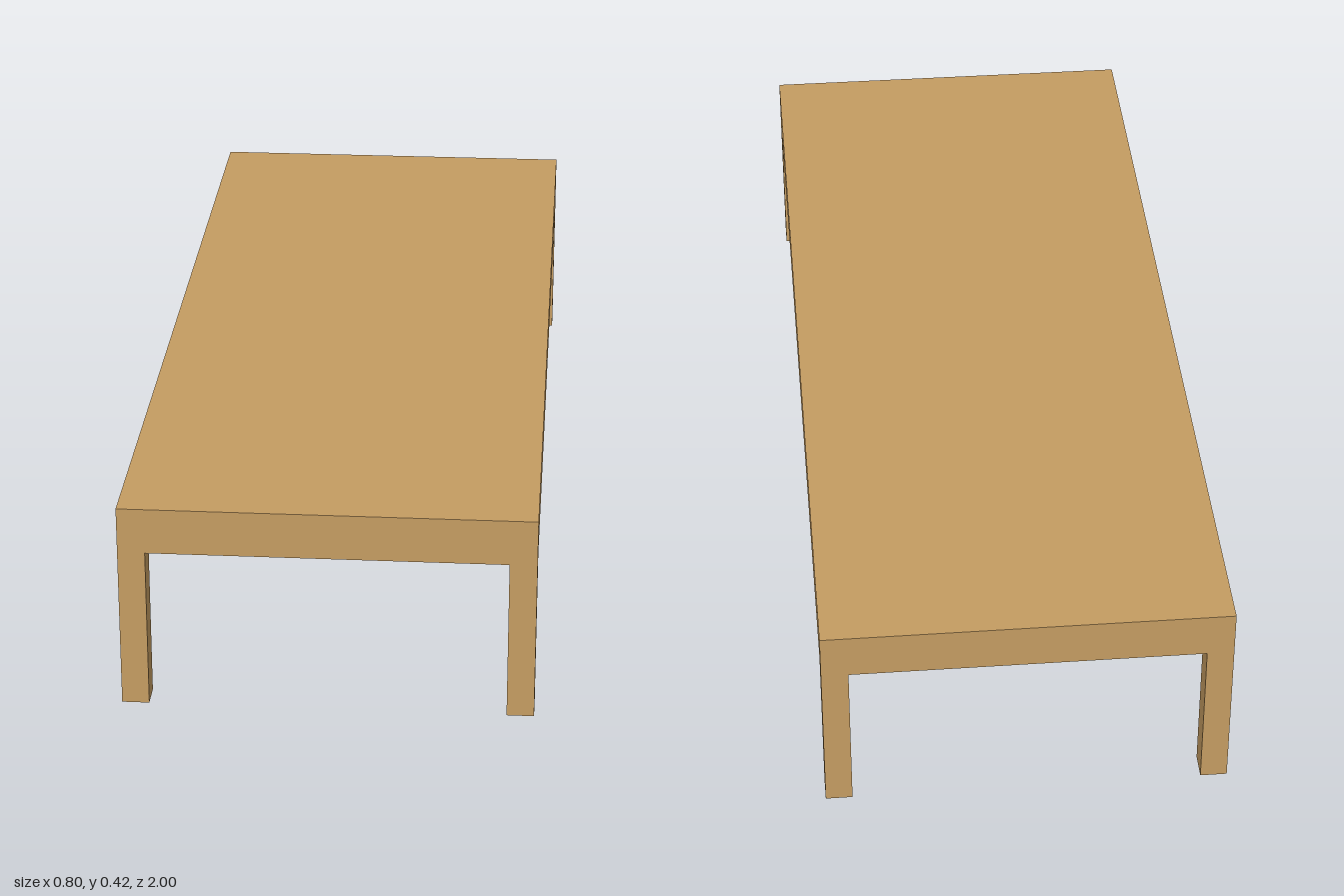
import * as THREE from 'three';

export function createModel() {
  const width = 0.8, length = 2, height = 0.417, topThickness = 0.092, leg = 0.053;
  const legHeight = height - topThickness;

  const wood = new THREE.MeshStandardMaterial({ color: 0xc49c62 });
  wood.name = 'wood';

  const table = new THREE.Group();
  table.name = 'table';

  // Solid slab top
  const top = new THREE.Mesh(new THREE.BoxGeometry(width, topThickness, length), wood);
  top.name = 'tableTop';
  top.position.y = height - topThickness / 2;
  table.add(top);

  // Four square legs flush with the corners
  const legGeometry = new THREE.BoxGeometry(leg, legHeight, leg);
  for (const [side, x] of [['Left', 1], ['Right', -1]]) {
    for (const [end, z] of [['front', 1], ['back', -1]]) {
      const mesh = new THREE.Mesh(legGeometry, wood);
      mesh.name = `${end}${side}Leg`;
      mesh.position.set(x * (width - leg) / 2, legHeight / 2, z * (length - leg) / 2);
      table.add(mesh);
    }
  }
  return table;
}
